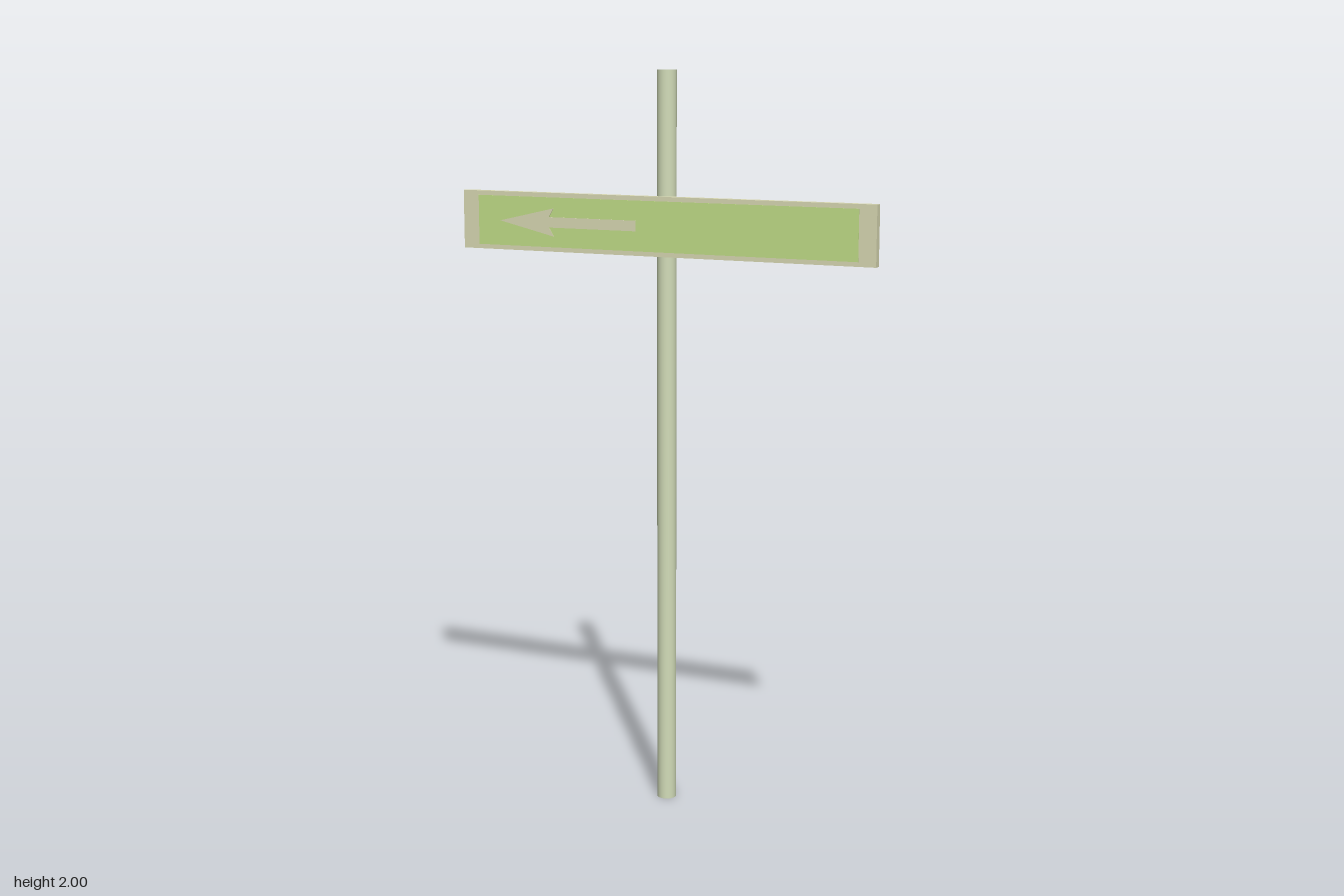
import * as THREE from 'three';

const paint = (color) => new THREE.MeshStandardMaterial({ color });

export function createModel() {
  const group = new THREE.Group();
  const add = (name, geometry, material, x, y, z) => {
    const mesh = new THREE.Mesh(geometry, material);
    mesh.name = name;
    mesh.position.set(x, y, z);
    group.add(mesh);
  };
  const cream = paint(0xdadab4);

  // Round post, standing just behind the board
  add('post', new THREE.CylinderGeometry(0.026, 0.026, 2, 32), paint(0xd2dcb8), -0.007, 1, -0.008);

  // Sign board and its thin coloured face
  add('signBoard', new THREE.BoxGeometry(1.195, 0.158, 0.021), cream, -0.0075, 1.594, 0.0185);
  add('signPanel', new THREE.BoxGeometry(1.1, 0.134, 0.002), paint(0xc2df88), -0.0075, 1.594, 0.029);

  // Arrow pointing to the model's right: tip at the origin, upper half mirrored below
  const half = [[0, 0], [0.165, 0.038], [0.15, 0.014], [0.41, 0.014]];
  const outline = [...half, ...half.slice(1).reverse().map(([x, y]) => [x, -y])];
  const arrow = new THREE.Shape(outline.map(([x, y]) => new THREE.Vector2(x, y)));
  add('arrow', new THREE.ExtrudeGeometry(arrow, { depth: 0.002, bevelEnabled: false }), cream, -0.49, 1.594, 0.0295);

  return group;
}
